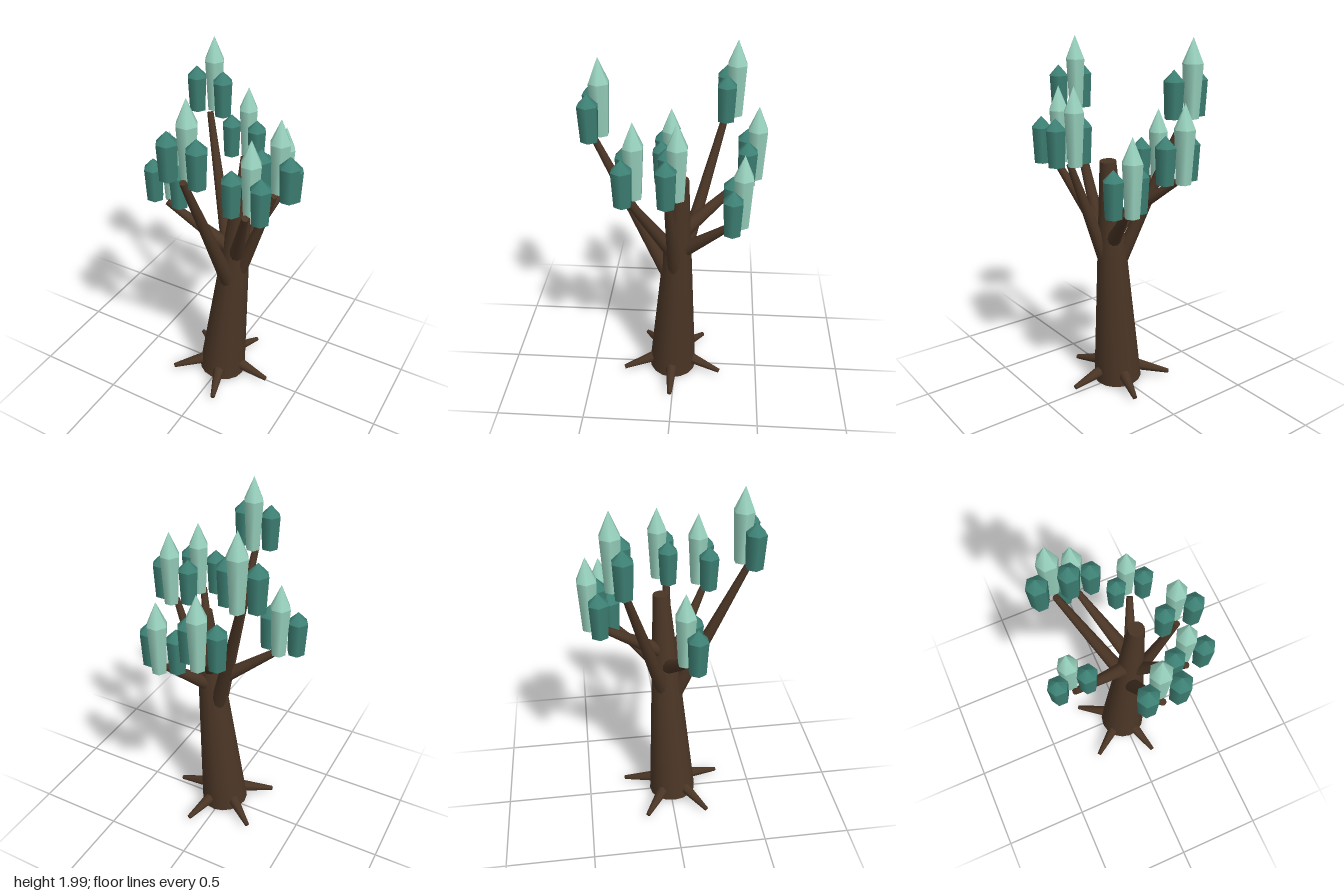
import * as THREE from 'three';

const bark = new THREE.MeshStandardMaterial({ color: 0x4a3525 });
bark.name = 'darkBark';
const paleLeaf = new THREE.MeshStandardMaterial({ color: 0x98d2be });
paleLeaf.name = 'paleMint';
const deepLeaf = new THREE.MeshStandardMaterial({ color: 0x3d8074 });
deepLeaf.name = 'deepTeal';

// Tapered round limb between two points
function limb(name, from, to, r0, r1, sides) {
  const a = new THREE.Vector3(...from);
  const b = new THREE.Vector3(...to);
  const dir = b.clone().sub(a);
  const mesh = new THREE.Mesh(new THREE.CylinderGeometry(r1, r0, dir.length(), sides), bark);
  mesh.position.copy(a).add(b).multiplyScalar(0.5);
  mesh.quaternion.setFromUnitVectors(new THREE.Vector3(0, 1, 0), dir.normalize());
  mesh.name = name;
  return mesh;
}

// Six-sided leaf: a body flaring upward with a pointed cap
function leaf(name, material, bottomRadius, radius, bodyHeight, capHeight) {
  const group = new THREE.Group();
  group.name = name;
  const body = new THREE.Mesh(
    new THREE.CylinderGeometry(radius, bottomRadius, bodyHeight, 6, 1, false, Math.PI / 6), material);
  body.position.y = bodyHeight / 2;
  body.name = 'leafBody';
  const cap = new THREE.Mesh(
    new THREE.ConeGeometry(radius, capHeight, 6, 1, true, Math.PI / 6), material);
  cap.position.y = bodyHeight + capHeight / 2;
  cap.name = 'leafPoint';
  group.add(body, cap);
  return group;
}

// One tall pale leaf behind two short dark ones
function leafCluster(x, y, z) {
  const group = new THREE.Group();
  group.name = 'leafCluster';
  const tall = leaf('tallLeaf', paleLeaf, 0.041, 0.057, 0.28, 0.13);
  tall.position.z = -0.05;
  group.add(tall);
  for (const side of [-1, 1]) {
    const short = leaf('shortLeaf', deepLeaf, 0.048, 0.057, 0.19, 0.06);
    short.position.x = side * 0.08;
    group.add(short);
  }
  group.position.set(x, y, z);
  return group;
}

export function createModel() {
  const tree = new THREE.Group();
  tree.name = 'tree';

  // Leaning trunk
  tree.add(limb('trunk', [0, 0.018, 0.015], [0.1, 1.36, -0.035], 0.14, 0.045, 16));

  // Roots
  for (let i = 0; i < 5; i++) {
    const a = (i / 5) * Math.PI * 2;
    const at = (r, y) => [Math.cos(a) * r, y, 0.015 + Math.sin(a) * r];
    tree.add(limb('root', at(0.08, 0.09), at(0.305, 0.033), 0.038, 0.013, 8));
  }

  // Branches with their leaves: start, tip
  const branches = [
    [[0.047, 0.71, 0.03], [0.022, 1.57, 0.43]],
    [[0.05, 0.68, -0.01], [-0.234, 1.59, -0.26]],
    [[0.055, 0.66, -0.01], [0.305, 1.36, 0.02]],
    [[0.065, 0.85, -0.015], [0.257, 1.335, 0.24]],
    [[0.065, 0.9, -0.018], [-0.307, 1.175, 0.09]],
    [[0.065, 0.88, -0.018], [0.187, 1.145, -0.31]],
    [[0.072, 1.0, -0.022], [-0.085, 1.29, -0.38]],
  ];
  for (const [start, tip] of branches) {
    tree.add(limb('branch', start, tip, 0.045, 0.018, 10));
    tree.add(leafCluster(...tip));
  }
  return tree;
}
